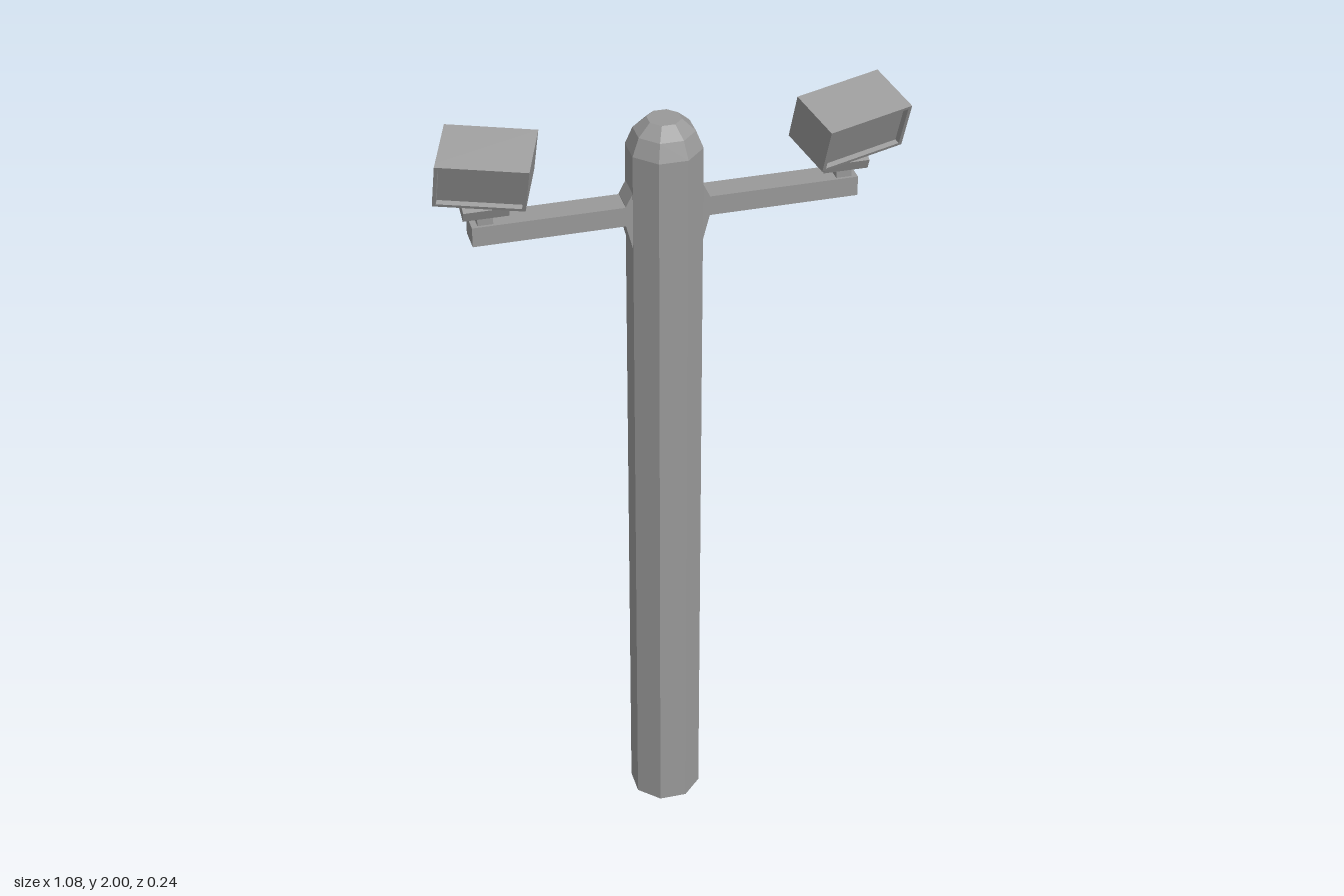
import * as THREE from 'three';

export function createModel() {
  const model = new THREE.Group();
  model.name = 'floodlightPole';
  const grey = new THREE.MeshStandardMaterial({ color: 0x999999 });
  grey.name = 'grey metal';
  const axisZ = -0.038;

  // Adds a faceted mesh
  const add = (parent, name, geometry) => {
    const g = geometry.index ? geometry.toNonIndexed() : geometry;
    g.computeVertexNormals();
    const mesh = new THREE.Mesh(g, grey);
    mesh.name = name;
    parent.add(mesh);
    return mesh;
  };
  const box = (parent, name, size, pos) => {
    const mesh = add(parent, name, new THREE.BoxGeometry(...size));
    mesh.position.set(...pos);
    return mesh;
  };

  // Octagonal pole with a rounded top; radii are given across the flats
  const profile = [[0, 0], [0.082, 0], [0.082, 1.875], [0.066, 1.917], [0.037, 1.945], [0, 1.945]]
    .map(([r, y]) => new THREE.Vector2(r / Math.cos(Math.PI / 8), y));
  add(model, 'pole', new THREE.LatheGeometry(profile, 8, Math.PI / 8)).position.z = axisZ;

  // Flared collar where the arms leave the pole
  const half = [[0.08, 1.63], [0.098, 1.7], [0.098, 1.75], [0.08, 1.785]];
  const outline = [...half, ...half.map(([x, y]) => [-x, y]).reverse()];
  const collar = new THREE.Shape(outline.map(([x, y]) => new THREE.Vector2(x, y)));
  add(model, 'armCollar', new THREE.ExtrudeGeometry(collar, { depth: 0.066, bevelEnabled: false }))
    .position.z = axisZ - 0.033;

  // Lamp front rim: a unit square with a window
  const rim = new THREE.Shape([[-0.5, -0.5], [0.5, -0.5], [0.5, 0.5], [-0.5, 0.5]]
    .map(([x, y]) => new THREE.Vector2(x, y)));
  rim.holes.push(new THREE.Path([[-0.46, -0.44], [-0.46, 0.44], [0.46, 0.44], [0.46, -0.44]]
    .map(([x, y]) => new THREE.Vector2(x, y))));

  for (const s of [1, -1]) {
    const side = new THREE.Group();
    side.name = s > 0 ? 'leftFloodlight' : 'rightFloodlight';
    model.add(side);

    // Horizontal arm and upright post
    box(side, 'arm', [0.37, 0.048, 0.065], [s * 0.265, 1.724, axisZ]);
    box(side, 'post', [0.036, 0.055, 0.045], [s * 0.418, 1.77, -0.035]);

    // Tilted bracket and neck under the lamp
    const bracket = new THREE.Group();
    bracket.name = 'bracket';
    bracket.position.set(s * 0.418, 1.8, -0.035);
    bracket.rotation.x = 0.4;
    side.add(bracket);
    box(bracket, 'bracketPlate', [0.105, 0.028, 0.085], [0, 0, 0]);
    box(bracket, 'bracketNeck', [0.075, 0.04, 0.06], [0, 0.028, 0]);

    // Lamp housing, turned outwards and tipped down
    const frame = new THREE.Matrix4().makeBasis(
      new THREE.Vector3(0.2, s * 0.021, s * -0.04),
      new THREE.Vector3(0, 0.125, 0.055),
      new THREE.Vector3(s * 0.046, -0.042, 0.11)
    ).setPosition(s * 0.418, 1.905, 0.0125);
    const body = new THREE.BoxGeometry(1, 1, 0.9).translate(0, 0, -0.05);
    add(side, 'lampHousing', body.applyMatrix4(frame));
    const rimGeometry = new THREE.ExtrudeGeometry(rim, { depth: 0.1, bevelEnabled: false });
    add(side, 'lampRim', rimGeometry.translate(0, 0, 0.4).applyMatrix4(frame));
  }
  return model;
}
